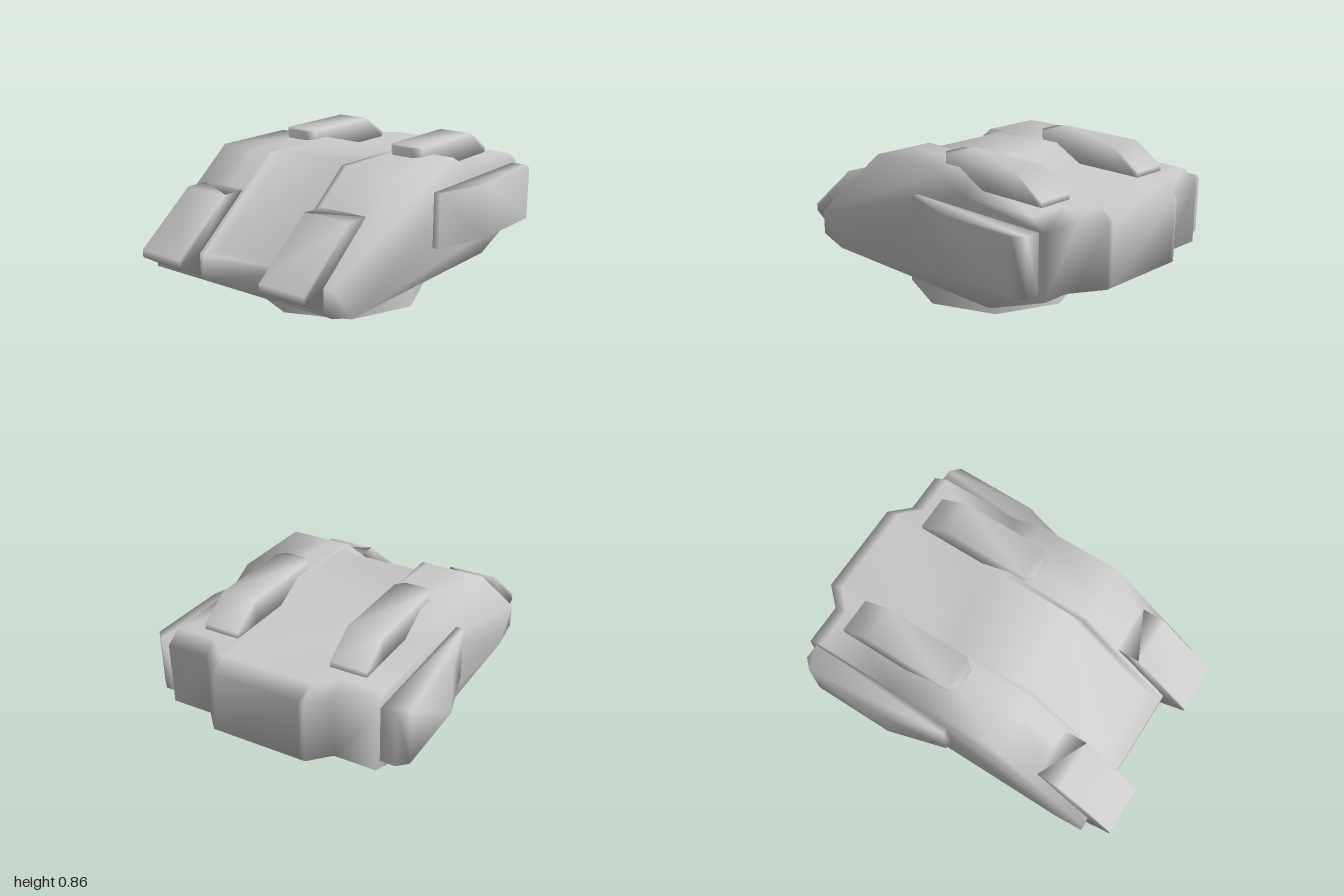
import * as THREE from 'three';
import { mergeVertices } from 'three/addons/utils/BufferGeometryUtils.js';

const material = new THREE.MeshStandardMaterial({ color: 0xcccccc });

// Smooth closed solid through rings of equal point count (counter-clockwise profiles).
// rings: [[ [x, y, z], ... ], ...]; flat: the outline of the end caps in 2D.
function loft(rings, project) {
  const n = rings[0].length, idx = [], last = rings.length - 1;
  for (let r = 0; r < last; r++) {
    for (let i = 0; i < n; i++) {
      const a = r * n + i, b = r * n + (i + 1) % n;
      idx.push(a, b, b + n, a, b + n, a + n);
    }
  }
  for (const r of [0, last]) {
    const outline = rings[r].map((p) => new THREE.Vector2(...project(p)));
    for (const [a, b, c] of THREE.ShapeUtils.triangulateShape(outline, [])) {
      idx.push(r * n + a, r * n + (r ? b : c), r * n + (r ? c : b));
    }
  }
  // Turn the faces outwards, whichever way the rings run
  const pts = rings.flat().map((p) => new THREE.Vector3(...p));
  let volume = 0;
  for (let i = 0; i < idx.length; i += 3) {
    volume += pts[idx[i]].dot(pts[idx[i + 1]].clone().cross(pts[idx[i + 2]]));
  }
  if (volume < 0) idx.reverse();
  const geo = new THREE.BufferGeometry().setFromPoints(pts);
  geo.setIndex(idx);
  const merged = mergeVertices(geo, 1e-4);
  merged.computeVertexNormals();
  return merged;
}

const sideView = (p) => [p[2], p[1]];
const planView = (p) => [p[0], p[2]];
const frontView = (p) => [p[0], p[1]];

// Hull profile in (z, y); back moves the tail, groove sinks the front slope
function hullRing(x, back, groove) {
  const profile = [
    [0.7, 0.18], [0.86, 0.23], [0.86, 0.37], [0.86 - groove, 0.37],
    [0.32 - groove, 0.81], [-0.18, 0.81], [-0.35, 0.72],
    [-0.81 - back, 0.72], [-0.895 - back, 0.66], [-0.895 - back, 0.32], [-0.53 - back, 0.18],
  ];
  return profile.map(([z, y]) => [x, y, z]);
}

export function createModel() {
  const group = new THREE.Group();
  const add = (name, geometry, mat = material) => {
    const mesh = new THREE.Mesh(geometry, mat);
    mesh.name = name;
    group.add(mesh);
    return mesh;
  };

  // Main hull with a stepped tail and a groove down the front slope
  const half = [[0.6, 0, 0], [0.37, 0, 0], [0.27, 0.105, 0], [0.24, 0.105, 0], [0.24, 0.105, 0.1]];
  const stations = [
    ...half.map(([x, b, g]) => [-x, b, g]),
    ...half.slice().reverse(),
  ];
  add('hull', loft(stations.map((s) => hullRing(...s)), sideView));

  for (const [side, s] of [['left', 1], ['right', -1]]) {
    // Wedge-shaped block on the front slope
    const wedge = [[0.86, 0.245], [1, 0.33], [1, 0.37], [0.66, 0.64], [0.53, 0.64], [0.86, 0.37]];
    add(side + 'FrontBlock', loft(
      [0.27, 0.55].map((x) => wedge.map(([z, y]) => [s * x, y, z])), sideView));

    // Long roof block, narrowed at the front and sloped at the rear
    const roof = [[-0.75, 0.1, 0.75], [-0.58, 0.1, 0.86], [-0.08, 0.1, 0.86], [-0.035, 0.06, 0.86]];
    add(side + 'RoofBlock', loft(roof.map(([z, w, top]) => {
      const cx = s * 0.37;
      return [[cx - w, 0.71, z], [cx + w, 0.71, z], [cx + w, top, z], [cx - w, top, z]];
    }), frontView));

    // Side pod, tapering towards the front
    const plan = [[0.6, 0], [0.6, -0.855], [0.685, -0.855], [0.735, -0.805], [0.735, -0.33], [0.64, 0]];
    const outline = plan.map(([x, z]) => [s * x, z]);
    if (s < 0) outline.reverse();
    add(side + 'SidePod', loft(
      [0.35, 0.655].map((y) => outline.map(([x, z]) => [x, y, z])), planView));
  }

  // Open eight-sided mounting ring
  const ringMaterial = material.clone();
  ringMaterial.side = THREE.DoubleSide;
  const ring = add('mountingRing', new THREE.CylinderGeometry(0.49, 0.49, 0.18, 8, 1, true), ringMaterial);
  ring.position.set(0, 0.09, 0.03);

  return group;
}
